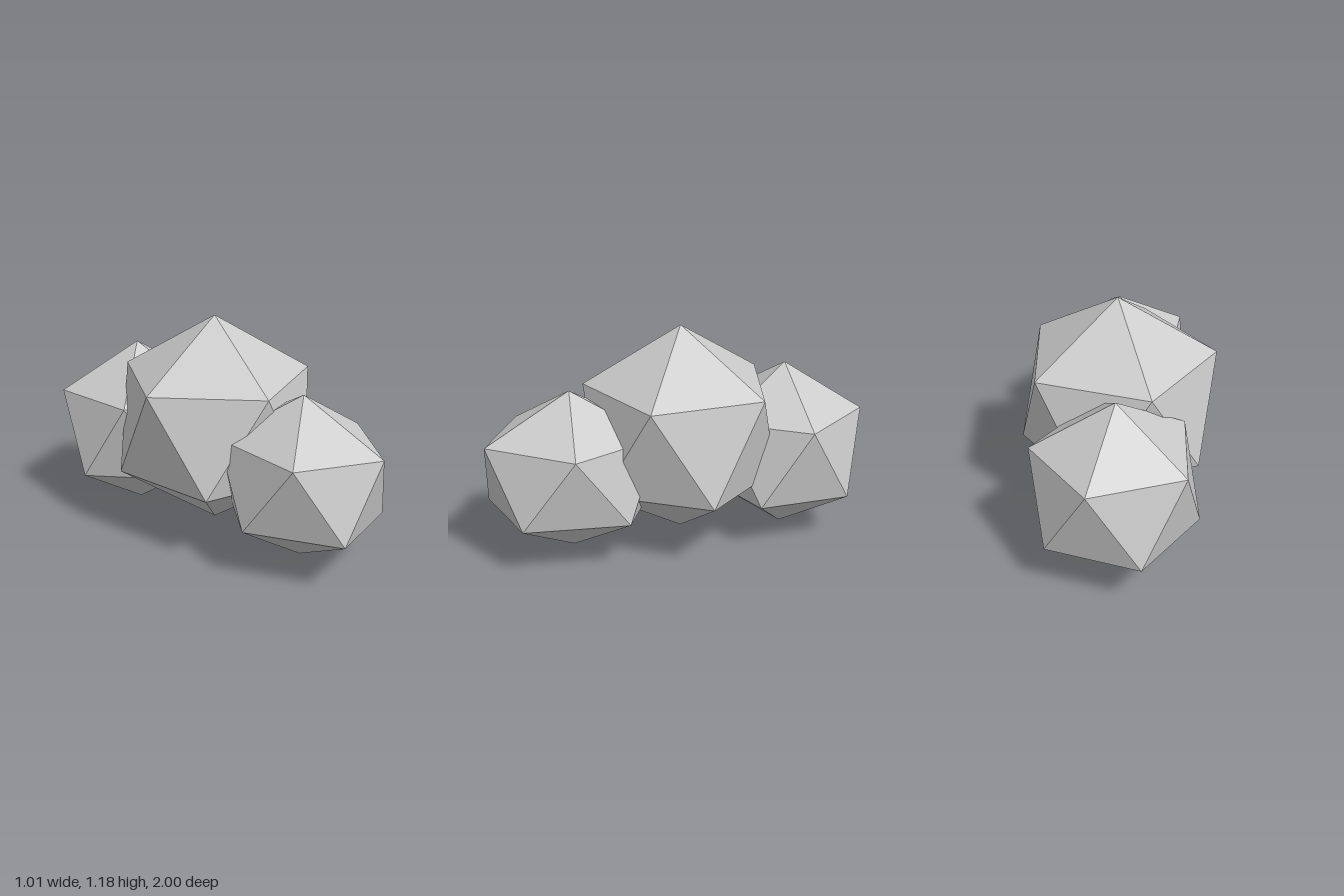
import * as THREE from 'three';

const material = new THREE.MeshStandardMaterial({ color: 0xcccccc, flatShading: true });

// Icosahedral boulder standing on a corner. u and v are the [x, z] half-axes
// of its upper ring of five corners; the lower ring is that ring mirrored through the centre.
function boulder(name, centre, halfHeight, u, v) {
  const ringY = halfHeight / Math.sqrt(5);
  const corner = (angle, y) => new THREE.Vector3(
    Math.cos(angle) * u[0] + Math.sin(angle) * v[0],
    y,
    Math.cos(angle) * u[1] + Math.sin(angle) * v[1]
  );
  const step = (Math.PI * 2) / 5;
  const top = new THREE.Vector3(0, halfHeight, 0);
  const bottom = new THREE.Vector3(0, -halfHeight, 0);

  const points = [];
  for (let k = 0; k < 5; k++) {
    const upA = corner(k * step, ringY);
    const upB = corner((k + 1) * step, ringY);
    const lowA = corner((k + 0.5) * step, -ringY);
    const lowB = corner((k + 1.5) * step, -ringY);
    points.push(top, upA, upB); // cap
    points.push(upA, lowA, upB, upB, lowA, lowB); // belt
    points.push(bottom, lowB, lowA); // underside
  }

  const geometry = new THREE.BufferGeometry().setFromPoints(points);
  geometry.computeVertexNormals();
  const mesh = new THREE.Mesh(geometry, material);
  mesh.name = name;
  mesh.position.set(...centre);
  return mesh;
}

export function createModel() {
  const group = new THREE.Group();
  group.name = 'boulders';
  group.add(
    boulder('middleBoulder', [0, 0.62, -0.03], 0.56, [-0.14, 0.483], [0.483, 0.14]),
    // slightly stretched from front to back
    boulder('frontBoulder', [0, 0.463, 0.555], 0.427, [0.053, 0.445], [0.379, -0.084]),
    boulder('backBoulder', [0, 0.466, -0.606], 0.463, [0.414, 0], [0, -0.414])
  );
  return group;
}
